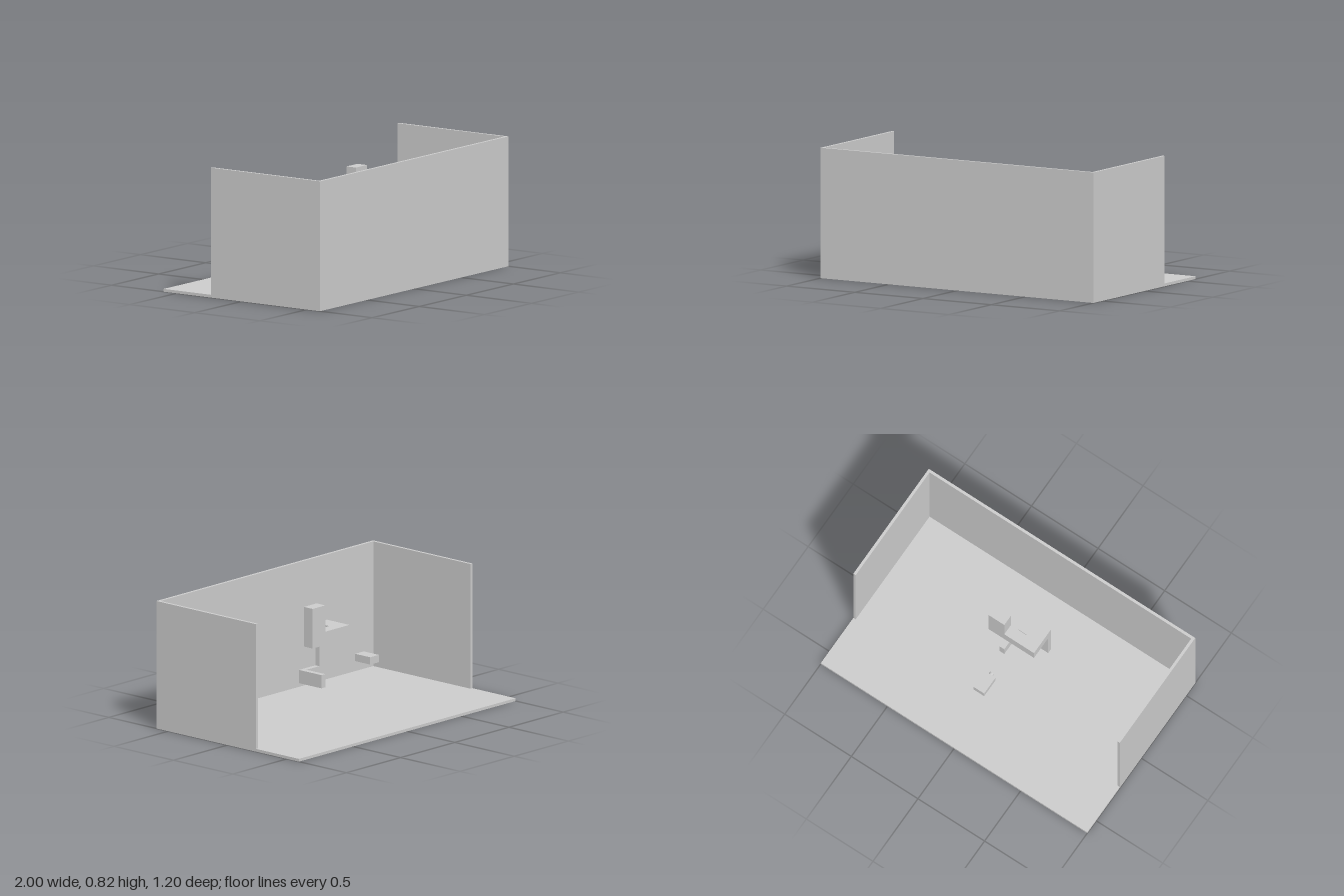
import * as THREE from 'three';

const material = new THREE.MeshStandardMaterial({ color: 0xcccccc, flatShading: true });

// Box given by its extents along each axis
function block(name, [x0, x1], [y0, y1], [z0, z1]) {
  const mesh = new THREE.Mesh(new THREE.BoxGeometry(x1 - x0, y1 - y0, z1 - z0), material);
  mesh.position.set((x0 + x1) / 2, (y0 + y1) / 2, (z0 + z1) / 2);
  mesh.name = name;
  return mesh;
}

export function createModel() {
  const model = new THREE.Group();
  model.name = 'roomWithSculpture';

  // Open room: floor, one long wall and two shorter side walls
  const wall = 0.018, height = 0.82;
  const room = new THREE.Group();
  room.name = 'room';
  room.add(
    block('floor', [-1, 1], [0, wall], [-0.6, 0.6]),
    block('frontWall', [-1, 1], [wall, height], [0.6 - wall, 0.6]),
    block('leftWall', [1 - wall, 1], [wall, height], [-0.238, 0.6 - wall]),
    block('rightWall', [-1, wall - 1], [wall, height], [-0.238, 0.6 - wall]),
  );

  // Floating sculpture: a chain of square-cut bars
  const upper = [0.452, 0.538], lower = [0.18, 0.265];
  const sculpture = new THREE.Group();
  sculpture.name = 'sculpture';
  sculpture.add(
    block('topPost', [0.055, 0.172], [upper[1], 0.707], [0.04, 0.113]),
    block('upperBar', [-0.168, 0.172], upper, [0.04, 0.113]),
    block('upperArm', [-0.168, -0.063], upper, [0.113, 0.23]),
    block('upright', [-0.168, -0.063], [lower[0], upper[0]], [0.198, 0.23]),
    block('lowerBar', [-0.063, 0.09], lower, [0.198, 0.23]),
    block('lowerArm', [0.055, 0.09], lower, [0.04, 0.198]),
  );

  // Floating camera pointing at the sculpture
  const viewer = new THREE.Group();
  viewer.name = 'viewer';
  const lens = new THREE.Mesh(new THREE.CylinderGeometry(0.015, 0.015, 0.02, 24), material.clone());
  lens.material.flatShading = false;
  lens.rotation.x = Math.PI / 2;
  lens.position.set(0, 0.412, -0.188);
  lens.name = 'lens';
  viewer.add(block('viewerBody', [-0.04, 0.04], [0.388, 0.435], [-0.324, -0.198]), lens);

  model.add(room, sculpture, viewer);
  return model;
}
